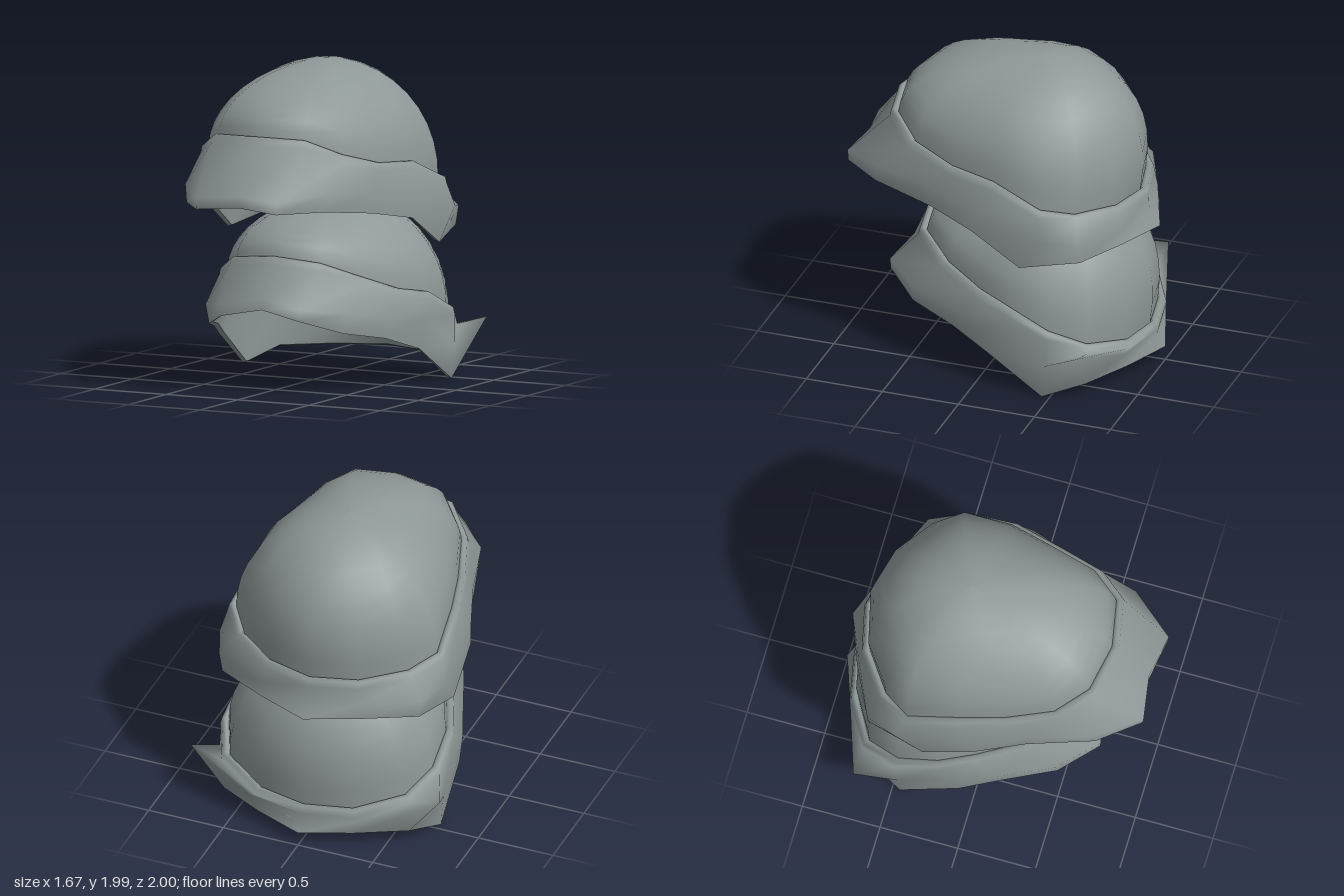
import * as THREE from 'three';

const metal = new THREE.MeshStandardMaterial({ color: 0x8f9898, side: THREE.DoubleSide });
metal.name = 'grey metal';

// Mirror half an outline (front centre to back centre) into a closed loop
function closeLoop(half) {
  const mirrored = half.slice(1, -1).reverse().map(([x, y, z]) => [-x, y, z]);
  return [...half, ...mirrored];
}

// Skin a list of closed rings; rings running upwards face outwards
function loft(name, rings) {
  const n = rings[0].length;
  const index = [];
  for (let r = 0; r < rings.length - 1; r++) {
    for (let i = 0; i < n; i++) {
      const j = (i + 1) % n;
      const a = r * n + i, b = r * n + j, c = a + n, d = b + n;
      index.push(a, b, d, a, d, c);
    }
  }
  const geometry = new THREE.BufferGeometry();
  geometry.setAttribute('position', new THREE.Float32BufferAttribute(rings.flat(2), 3));
  geometry.setIndex(index);
  geometry.computeVertexNormals();
  const mesh = new THREE.Mesh(geometry, metal);
  mesh.name = name;
  return mesh;
}

// Push a ring away from the vertical axis through z = centre, and up or down
function offset(ring, centre, out, dy) {
  return ring.map(([x, y, z]) => {
    const l = Math.hypot(x, z - centre);
    return [x + (x / l) * out, y + dy, z + ((z - centre) / l) * out];
  });
}

function createHelmet({ name, shiftX, apexY, apexZ, lip, skirt, hem }) {
  const group = new THREE.Group();
  group.name = name;
  const lipRing = closeLoop(lip), skirtRing = closeLoop(skirt), hemRing = closeLoop(hem);

  // Rounded bowl, bulging a little at the back
  const base = offset(lipRing, apexZ, -0.02, -0.02);
  const domeRings = [];
  const steps = 10;
  for (let k = 0; k <= steps; k++) {
    const a = (k / steps) * Math.PI / 2;
    const s = Math.cos(a), h = Math.sin(a);
    domeRings.push(base.map(([x, y, z]) => {
      const back = Math.max(0, (apexZ - z) / 0.6);
      return [x * s, y + (apexY - y) * h, apexZ + (z - apexZ) * s - 0.075 * back * Math.sin(2 * a)];
    }));
  }
  group.add(loft('dome', domeRings));

  // Flared band with a rolled upper lip
  group.add(loft('band', [
    hemRing,
    skirtRing,
    offset(lipRing, apexZ, 0.035, -0.05),
    offset(lipRing, apexZ, 0.025, -0.01),
    lipRing,
    base,
  ]));

  // Inner face and lower edge of the band
  const innerHem = offset(hemRing, apexZ, -0.03, 0.01);
  group.add(loft('bandLining', [base, innerHem]));
  group.add(loft('hemEdge', [innerHem, hemRing]));

  group.position.x = shiftX;
  return group;
}

export function createModel() {
  const model = new THREE.Group();
  model.name = 'stackedHelmets';

  model.add(createHelmet({
    name: 'upperHelmet', shiftX: -0.015, apexY: 1.99, apexZ: -0.2,
    lip: [[0, 1.61, 0.73], [0.31, 1.6, 0.67], [0.48, 1.5, 0.49], [0.58, 1.42, 0.2], [0.66, 1.4, -0.1],
      [0.69, 1.27, -0.42], [0.56, 1.21, -0.6], [0.3, 1.18, -0.78], [0, 1.17, -0.85]],
    skirt: [[0, 1.26, 0.95], [0.28, 1.24, 0.995], [0.5, 1.28, 0.72], [0.61, 1.25, 0.32], [0.73, 1.22, 0],
      [0.76, 1.08, -0.47], [0.68, 1.05, -0.67], [0.32, 1.03, -0.83], [0, 1.03, -0.89]],
    hem: [[0, 1.19, 0.95], [0.28, 1.17, 0.99], [0.48, 1.17, 0.74], [0.6, 1.12, 0.33], [0.72, 1.06, 0.02],
      [0.74, 0.87, -0.3], [0.66, 0.93, -0.67], [0.32, 0.93, -0.84], [0, 0.92, -0.96]],
  }));

  model.add(createHelmet({
    name: 'lowerHelmet', shiftX: 0, apexY: 1.13, apexZ: -0.32,
    lip: [[0, 0.84, 0.53], [0.3, 0.81, 0.48], [0.48, 0.71, 0.27], [0.6, 0.61, 0], [0.69, 0.57, -0.22],
      [0.7, 0.45, -0.48], [0.6, 0.35, -0.7], [0.31, 0.27, -0.86], [0, 0.26, -0.92]],
    skirt: [[0, 0.59, 0.65], [0.28, 0.54, 0.71], [0.5, 0.5, 0.48], [0.63, 0.44, 0.15], [0.73, 0.42, -0.1],
      [0.75, 0.22, -0.46], [0.835, 0.36, -0.72], [0.38, 0.2, -0.87], [0, 0.17, -0.95]],
    hem: [[0, 0.52, 0.68], [0.27, 0.47, 0.71], [0.47, 0.38, 0.49], [0.6, 0.32, 0.18], [0.7, 0.23, -0.08],
      [0.73, 0, -0.45], [0.62, 0.08, -0.7], [0.32, 0.09, -0.87], [0, 0.09, -1]],
  }));

  return model;
}
